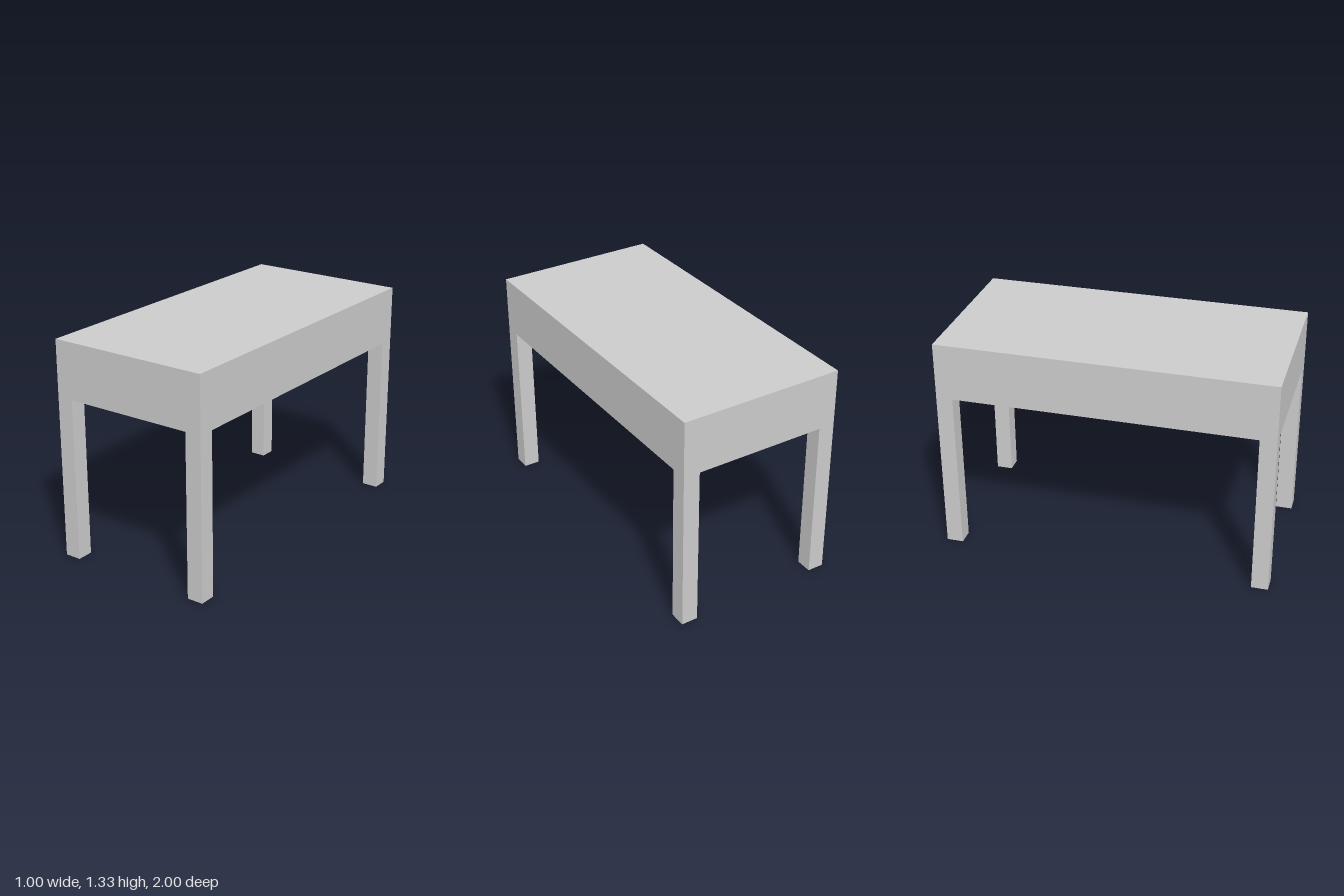
import * as THREE from 'three';

const WIDTH = 1, DEPTH = 2, HEIGHT = 1.333, LEG_HEIGHT = 0.992, LEG = 0.1;

export function createModel() {
  const table = new THREE.Group();
  table.name = 'table';
  const material = new THREE.MeshStandardMaterial({ color: 0xcccccc });

  const addBox = (name, w, h, d, x, y, z) => {
    const mesh = new THREE.Mesh(new THREE.BoxGeometry(w, h, d), material);
    mesh.name = name;
    mesh.position.set(x, y, z);
    table.add(mesh);
  };

  // Deep solid top block
  addBox('tableTop', WIDTH, HEIGHT - LEG_HEIGHT, DEPTH, 0, (HEIGHT + LEG_HEIGHT) / 2, 0);

  // Square legs, flush with the corners
  for (const [side, sx] of [['Left', 1], ['Right', -1]]) {
    for (const [end, sz] of [['front', 1], ['back', -1]]) {
      addBox(`${end}${side}Leg`, LEG, LEG_HEIGHT, LEG,
        sx * (WIDTH - LEG) / 2, LEG_HEIGHT / 2, sz * (DEPTH - LEG) / 2);
    }
  }
  return table;
}
